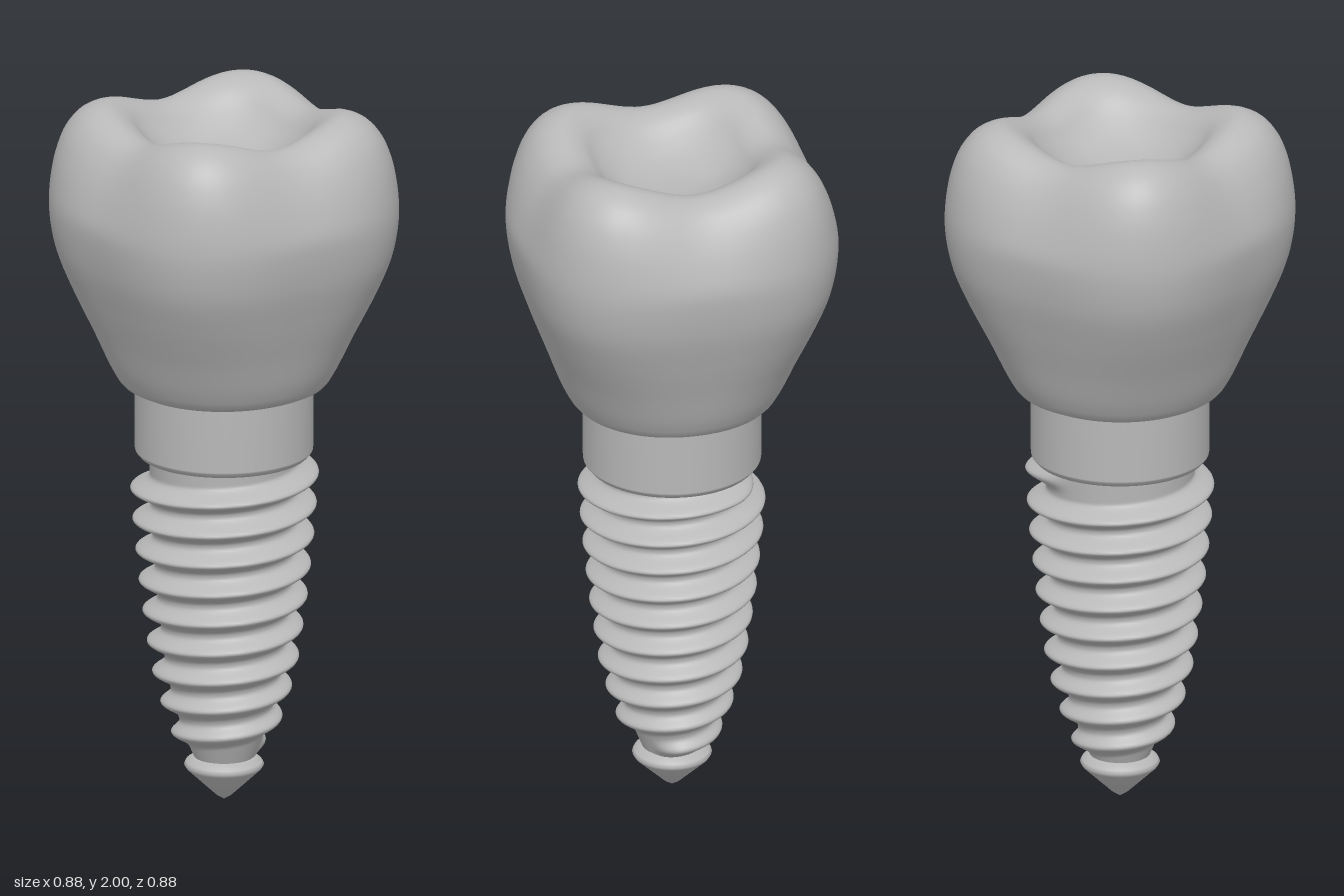
import * as THREE from 'three';

const { lerp, smoothstep } = THREE.MathUtils;

// Closed skin of rings, bottom to top; point(row 0..1, angle) gives [radius, y]
function ringSurface(rows, segs, point) {
  const pos = [], idx = [];
  for (let i = 0; i <= rows; i++) {
    for (let j = 0; j < segs; j++) {
      const a = (j / segs) * Math.PI * 2;
      const [r, y] = point(i / rows, a);
      pos.push(r * Math.cos(a), y, -r * Math.sin(a));
    }
  }
  for (let i = 0; i < rows; i++) {
    for (let j = 0; j < segs; j++) {
      const k = (j + 1) % segs;
      const a = i * segs + j, b = i * segs + k, c = a + segs, d = b + segs;
      idx.push(a, b, d, a, d, c);
    }
  }
  const geo = new THREE.BufferGeometry();
  geo.setAttribute('position', new THREE.Float32BufferAttribute(pos, 3));
  geo.setIndex(idx);
  geo.computeVertexNormals();
  return geo;
}

// Linear lookup in a [y, inner, outer] table
function lookup(table, y, col) {
  for (let i = 1; i < table.length; i++) {
    const p = table[i - 1], q = table[i];
    if (y <= q[0] || i === table.length - 1) return lerp(p[col], q[col], (y - p[0]) / (q[0] - p[0]));
  }
}

// Crown: rounded-square sections rising to four corner cusps around a basin
function crownGeometry() {
  // half width, height at the corners, height at the face middles
  const profile = new THREE.CatmullRomCurve3([
    [0, 1.2, 1.2], [0.24, 1.2, 1.2], [0.275, 1.21, 1.21], [0.302, 1.25, 1.25],
    [0.348, 1.37, 1.37], [0.388, 1.48, 1.48], [0.422, 1.59, 1.59], [0.438, 1.7, 1.7],
    [0.434, 1.79, 1.77], [0.418, 1.875, 1.84], [0.392, 1.938, 1.89], [0.352, 1.982, 1.93],
    [0.298, 2.0, 1.95], [0.245, 1.975, 1.935], [0.195, 1.92, 1.895], [0.13, 1.87, 1.86],
    [0.06, 1.848, 1.847], [0, 1.845, 1.845],
  ].map((p) => new THREE.Vector3(...p)), false, 'centripetal');
  const rows = 90;
  const samples = profile.getSpacedPoints(rows);
  return ringSurface(rows, 96, (t, a) => {
    const p = samples[Math.round(t * rows)];
    const mid = (1 + Math.cos(4 * a)) / 2;
    const n = lerp(2.1, 2.85, smoothstep(p.y, 1.2, 1.62));
    const unit = Math.pow(Math.abs(Math.cos(a)) ** n + Math.abs(Math.sin(a)) ** n, -1 / n);
    const dent = 1 - 0.06 * mid * smoothstep(p.y, 1.7, 1.95);
    return [Math.max(p.x, 0) * unit * dent, Math.min(lerp(p.y, p.z, mid), 2)];
  });
}

// Tapered screw with a right-handed rounded thread that runs out at both ends
function screwGeometry() {
  const pitch = 0.0885, y0 = 0.125, y1 = 1.01;
  const radii = [
    [0.125, 0.083, 0.115], [0.2, 0.113, 0.148], [0.3, 0.142, 0.181], [0.4, 0.162, 0.205],
    [0.6, 0.185, 0.232], [0.8, 0.199, 0.252], [1.01, 0.207, 0.266],
  ];
  return ringSurface(170, 80, (t, a) => {
    const y = lerp(y0, y1, t);
    const phase = (y - 0.955) / pitch - a / (Math.PI * 2);
    const ridge = Math.pow((1 + Math.cos(phase * Math.PI * 2)) / 2, 1.4);
    const turn = Math.round(phase) + a / (Math.PI * 2);
    const fade = smoothstep(turn, -9.15, -9) * (1 - smoothstep(turn, 0.08, 0.24));
    return [lerp(lookup(radii, y, 1), lookup(radii, y, 2), ridge * fade), y];
  });
}

const lathe = (points, segs) =>
  new THREE.LatheGeometry(points.map(([r, y]) => new THREE.Vector2(r, y)), segs);

export function createModel() {
  const group = new THREE.Group();
  const grey = new THREE.MeshStandardMaterial({ color: 0xb8b8b8 });
  grey.name = 'grey';

  const add = (name, geometry) => {
    const mesh = new THREE.Mesh(geometry, grey);
    mesh.name = name;
    group.add(mesh);
  };

  add('crown', crownGeometry());
  // Collar between crown and screw, doubled points keep its edges crisp
  add('collar', lathe([
    [0, 0.995], [0.205, 0.995], [0.205, 0.995], [0.235, 1.003], [0.245, 1.015],
    [0.246, 1.02], [0.246, 1.205], [0.246, 1.205], [0, 1.205],
  ], 64));
  add('threadedScrew', screwGeometry());
  // Pointed end below the thread
  add('screwTip', lathe([
    [0, 0], [0.022, 0.014], [0.104, 0.092], [0.11, 0.102], [0.105, 0.112], [0.083, 0.128], [0, 0.135],
  ], 48));
  return group;
}
